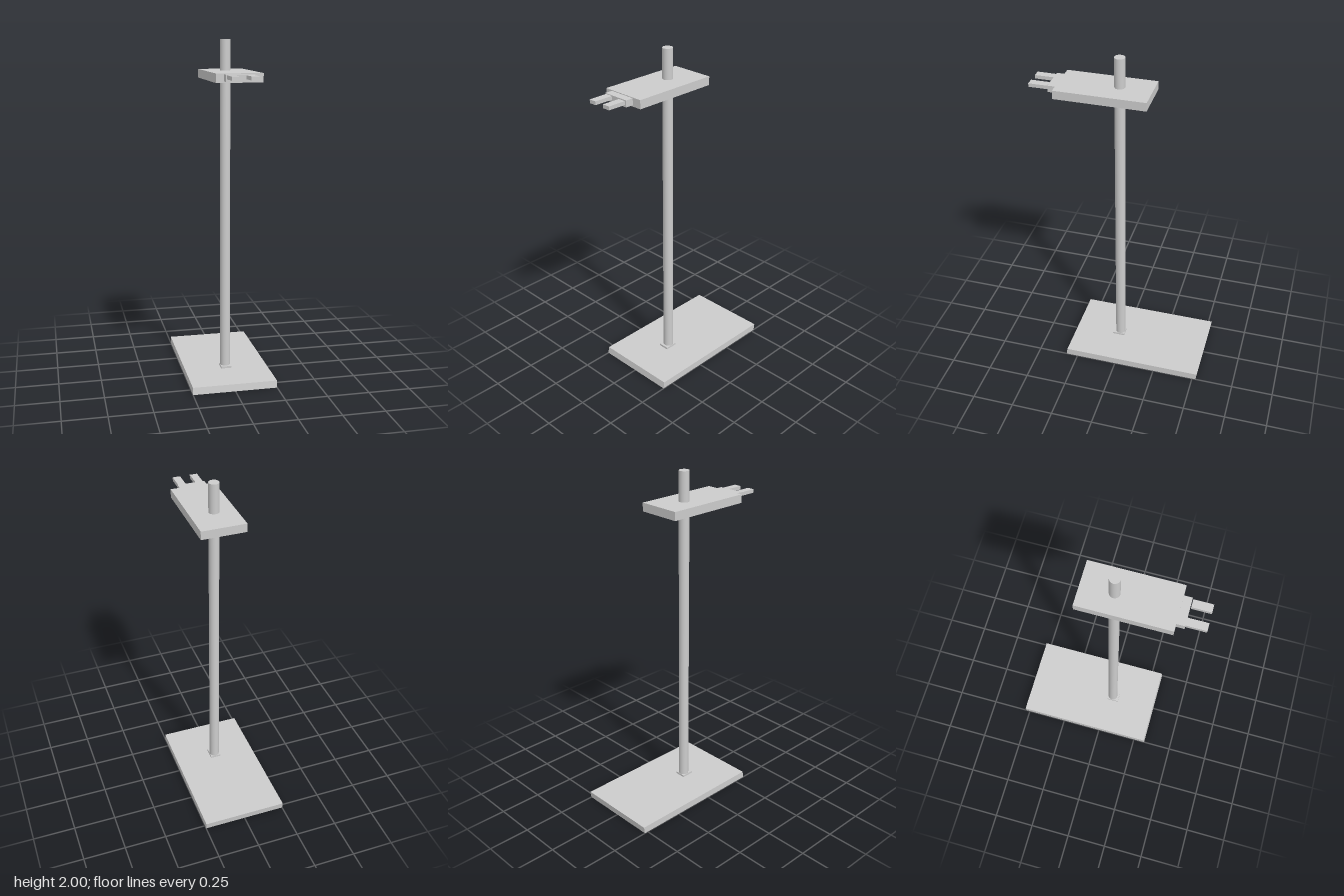
import * as THREE from 'three';

const material = new THREE.MeshStandardMaterial({ color: 0xcccccc });

// Box given by its [min, max] extent along each axis
function block(name, [x0, x1], [y0, y1], [z0, z1]) {
  const mesh = new THREE.Mesh(new THREE.BoxGeometry(x1 - x0, y1 - y0, z1 - z0), material);
  mesh.position.set((x0 + x1) / 2, (y0 + y1) / 2, (z0 + z1) / 2);
  mesh.name = name;
  return mesh;
}

export function createModel() {
  const group = new THREE.Group();
  group.name = 'clampStand';

  // Base plate, its top face shifted slightly backwards
  const base = block('base', [-0.25, 0.25], [0, 0.042], [-0.525, 0.32]);
  const pos = base.geometry.attributes.position;
  for (let i = 0; i < pos.count; i++) {
    pos.setZ(i, pos.getZ(i) + (pos.getY(i) > 0 ? -0.003 : 0.003));
  }
  base.geometry.computeVertexNormals();
  group.add(base);

  // Square foot and upright rod
  group.add(block('rodFoot', [-0.032, 0.032], [0.04, 0.054], [0, 0.074]));
  const rod = new THREE.Mesh(new THREE.CylinderGeometry(0.03, 0.03, 1.96, 40), material);
  rod.position.set(0, 1.02, 0.031);
  rod.name = 'rod';
  group.add(rod);

  // Clamp plate with a stepped front and two prongs
  group.add(block('clampPlate', [-0.122, 0.138], [1.776, 1.826], [-0.153, 0.368]));
  group.add(block('clampTongue', [-0.078, 0.082], [1.784, 1.822], [0.366, 0.414]));
  group.add(block('rightProng', [-0.072, -0.028], [1.797, 1.818], [0.414, 0.526]));
  group.add(block('leftProng', [0.031, 0.076], [1.797, 1.818], [0.418, 0.526]));

  return group;
}
